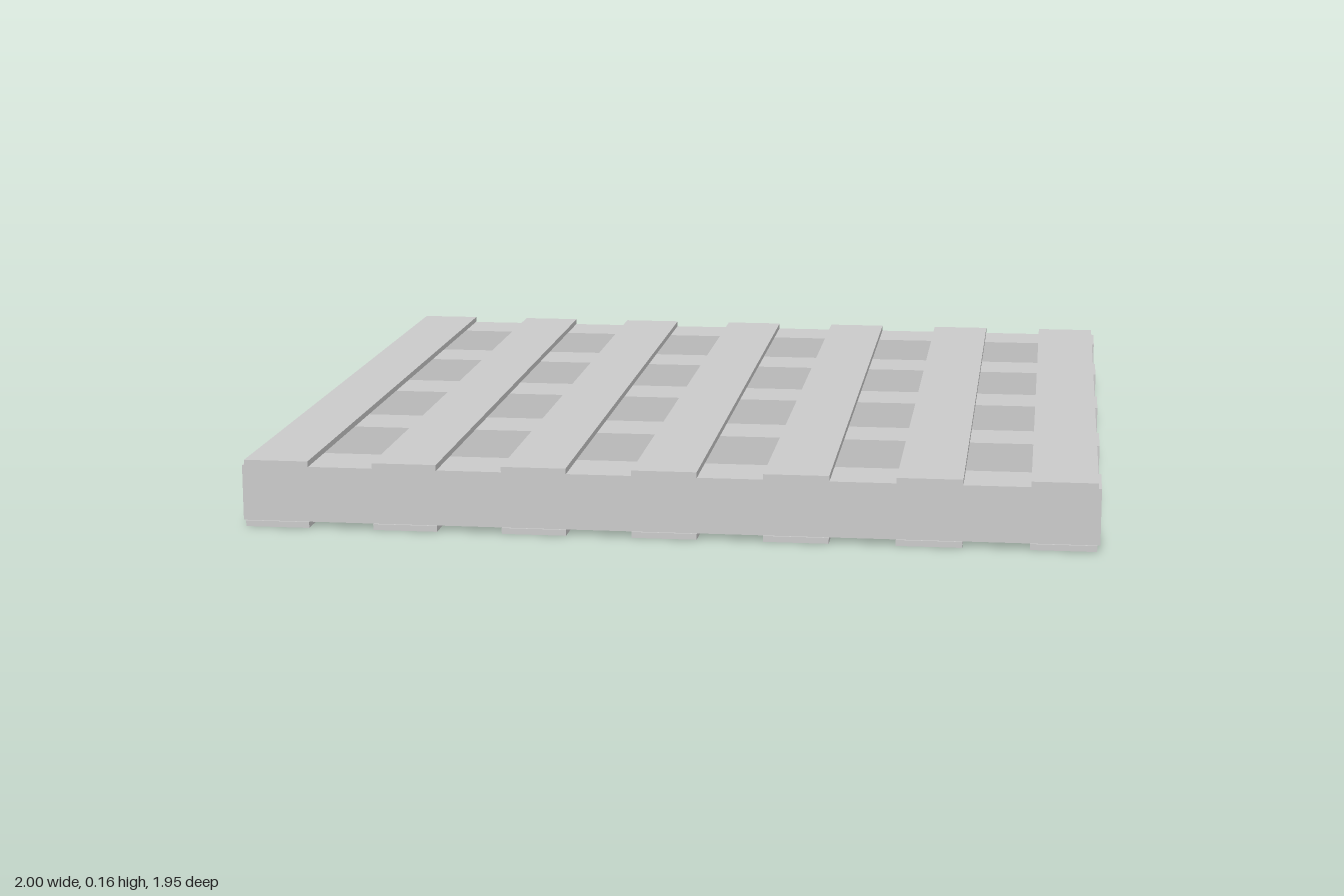
import * as THREE from 'three';

export function createModel() {
  const pallet = new THREE.Group();
  pallet.name = 'pallet';
  const material = new THREE.MeshStandardMaterial({ color: 0xcccccc, flatShading: true });

  const height = 0.16, slatThickness = 0.014;
  const stringerHeight = height - 2 * slatThickness;

  const addBoard = (name, geometry, x, y, z) => {
    const mesh = new THREE.Mesh(geometry, material);
    mesh.name = name;
    mesh.position.set(x, y, z);
    pallet.add(mesh);
  };

  // Five deep stringers running side to side
  const stringer = new THREE.BoxGeometry(2, stringerHeight, 0.148);
  for (let i = -2; i <= 2; i++) {
    addBoard(`stringer${i + 3}`, stringer, 0, height / 2, i * 0.4475);
  }

  // Seven thin slats running front to back, on the top and the underside
  const slat = new THREE.BoxGeometry(0.152, slatThickness, 1.948);
  for (let i = -3; i <= 3; i++) {
    const x = i * 0.3057;
    addBoard(`topSlat${i + 4}`, slat, x, height - slatThickness / 2, 0);
    addBoard(`bottomSlat${i + 4}`, slat, x, slatThickness / 2, 0);
  }

  return pallet;
}
